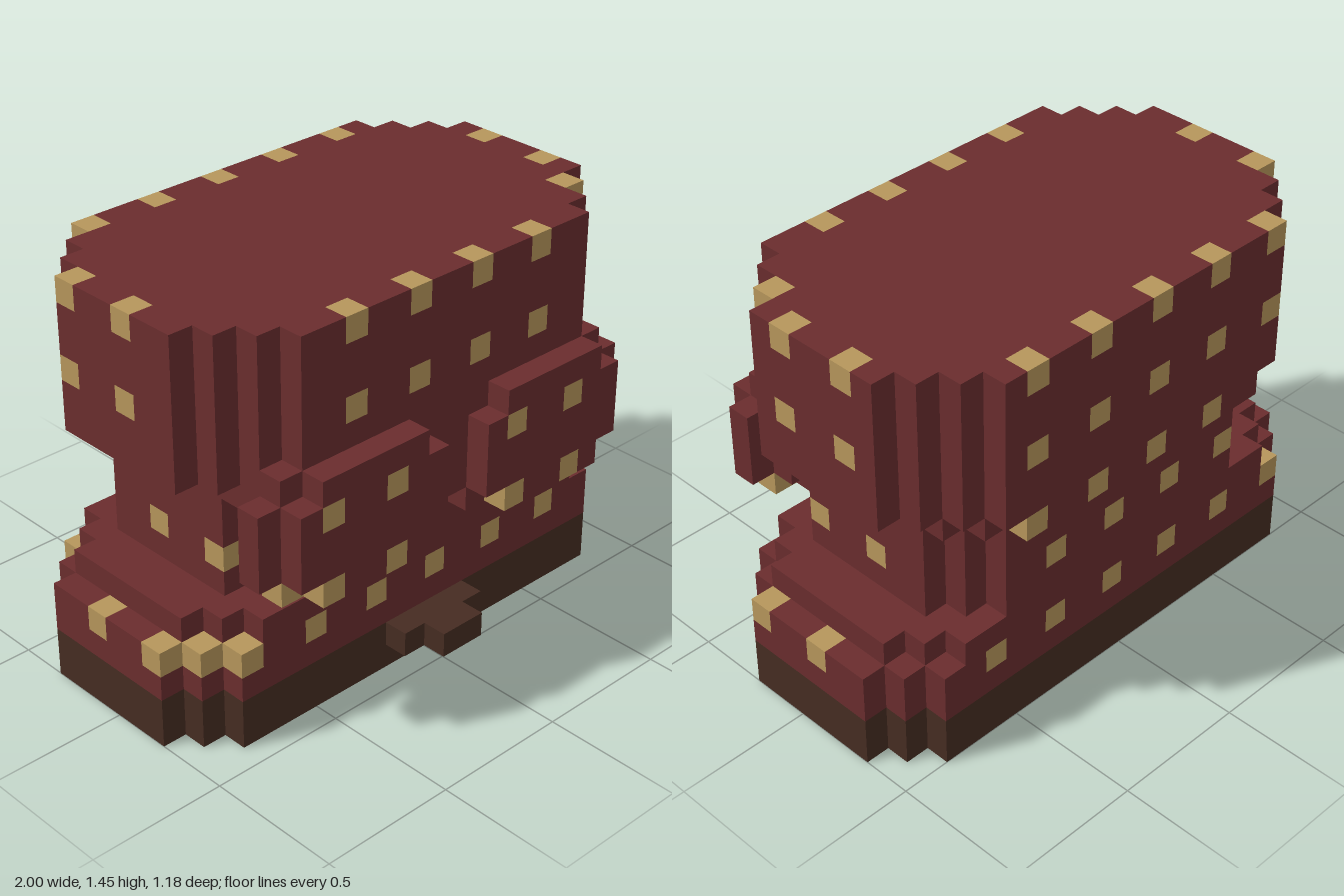
import * as THREE from 'three';
import { mergeGeometries } from 'three/addons/utils/BufferGeometryUtils.js';

// Grid of 22 x 16 x 13 cubes
const U = 1 / 11, W = 22, H = 16, D = 13;

// Each block: [first layer, last layer, first row, last row, half width, half width of gap in the middle]
const PARTS = {
  sole: [[0, 1, 1, 10, 9], [0, 1, 2, 9, 10], [0, 1, 3, 8, 11]],
  soleTab: [[1, 1, 11, 11, 2], [1, 1, 12, 12, 1]],
  brim: [[2, 3, 1, 10, 9], [2, 3, 2, 9, 10], [2, 3, 3, 8, 11]],
  brimStep: [[4, 4, 1, 10, 8], [4, 4, 2, 9, 9], [4, 4, 3, 8, 10]],
  waist: [[5, 8, 1, 10, 6], [5, 8, 2, 9, 7], [5, 8, 3, 8, 8]],
  lip: [[9, 9, 0, 11, 6], [9, 9, 1, 10, 7], [9, 9, 2, 9, 8]],
  crown: [[10, 15, 0, 11, 7], [10, 15, 1, 10, 8], [10, 15, 2, 9, 9], [10, 15, 3, 8, 10]],
  frontFlaps: [
    [6, 6, 10, 10, 7, 2], [6, 6, 11, 11, 8, 1], [6, 6, 12, 12, 7, 2],
    [7, 9, 10, 10, 8], [7, 9, 11, 11, 9], [7, 9, 12, 12, 8, 1],
    [10, 10, 11, 11, 8], [10, 10, 12, 12, 7, 2],
  ],
};

// Unit cube faces with their outward direction
const FACES = [
  [0, 0, 1], [0, 0, -1], [1, 0, 0], [-1, 0, 0], [0, 1, 0], [0, -1, 0],
].map((dir) => {
  const g = new THREE.PlaneGeometry(1, 1).translate(0, 0, 0.5);
  if (dir[1]) g.rotateX(-dir[1] * Math.PI / 2);
  else g.rotateY(Math.atan2(dir[0], dir[2]));
  return { dir, g };
});

export function createModel() {
  const cloth = new THREE.MeshStandardMaterial({ color: 0x6a2d2e });
  cloth.name = 'dark red cloth';
  const trim = new THREE.MeshStandardMaterial({ color: 0x462c22 });
  trim.name = 'dark brown trim';
  const gold = new THREE.MeshStandardMaterial({ color: 0xb6965b });
  gold.name = 'gold spots';

  // Fill the grid; the first part to claim a cell keeps it
  const cells = new Map();
  const key = (x, y, z) => (y * 32 + z + 1) * 32 + x + 1;
  for (const [name, blocks] of Object.entries(PARTS)) {
    for (const [y0, y1, z0, z1, half, gap = 0] of blocks) {
      for (let y = y0; y <= y1; y++) for (let z = z0; z <= z1; z++) {
        for (let x = 11 - half; x < 11 + half; x++) {
          const inGap = x >= 11 - gap && x < 11 + gap;
          if (!inGap && !cells.has(key(x, y, z))) cells.set(key(x, y, z), name);
        }
      }
    }
  }
  const filled = (x, y, z) => cells.has(key(x, y, z));

  // Spots sit on every third layer, every third cube, shifting by one per row
  const isSpot = (x, y, z) => {
    if (y < 3 || y % 3 || (x - z + 15) % 3 !== 1) return false;
    if (y === 9 && z > 0 && z < 12) return false;
    if (y === 6 && (z === 10 || (z === 11 && x > 8 && x < 13))) return false;
    return !(filled(x + 1, y, z) && filled(x - 1, y, z) && filled(x, y, z + 1) && filled(x, y, z - 1));
  };

  // Collect the outer faces of each part, plain and spotted
  const plain = {}, spots = {};
  for (let y = 0; y < H; y++) for (let z = 0; z < D; z++) for (let x = 0; x < W; x++) {
    const name = cells.get(key(x, y, z));
    if (!name) continue;
    const target = isSpot(x, y, z) ? spots : plain;
    for (const { dir, g } of FACES) {
      if (filled(x + dir[0], y + dir[1], z + dir[2])) continue;
      const face = g.clone().translate(x + 0.5 - W / 2, y + 0.5, z + 0.5 - D / 2).scale(U, U, U);
      (target[name] ??= []).push(face);
    }
  }

  const model = new THREE.Group();
  model.name = 'spottedHat';
  for (const name of Object.keys(PARTS)) {
    const part = new THREE.Group();
    part.name = name;
    const add = (label, faces, material) => {
      if (!faces) return;
      const mesh = new THREE.Mesh(mergeGeometries(faces), material);
      mesh.name = label;
      part.add(mesh);
    };
    add(name + 'Body', plain[name], name.startsWith('sole') ? trim : cloth);
    add(name + 'Spots', spots[name], gold);
    model.add(part);
  }
  return model;
}
